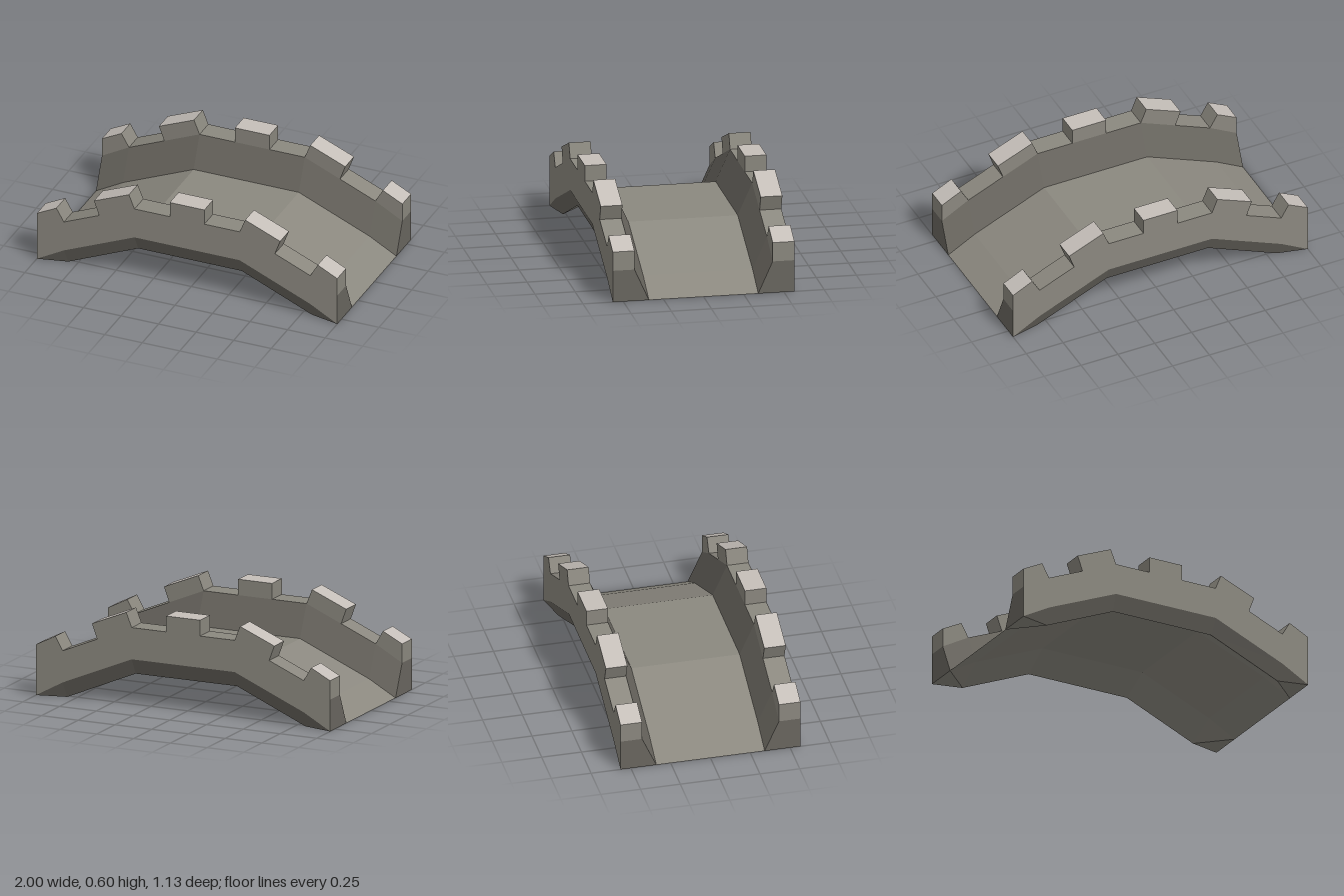
import * as THREE from 'three';

const Z_OUT = 0.565, Z_IN = 0.43, Z_DECK = 0.34, Z_UNDER = 0.52;

const stone = new THREE.MeshStandardMaterial({ color: 0x8b887f });
stone.name = 'stone';
stone.side = THREE.DoubleSide;
const darkStone = new THREE.MeshStandardMaterial({ color: 0x69665f });
darkStone.name = 'darkStone';
const paleStone = new THREE.MeshStandardMaterial({ color: 0xc5bfb9 });
paleStone.name = 'paleStone';

// Arch stations from the crown to the foot: x, deck height, underside point
const STATIONS = [
  { x: 0, y: 0.3, ux: 0, uy: 0.2, uz: Z_UNDER },
  { x: 0.35, y: 0.3, ux: 0.345, uy: 0.2, uz: Z_UNDER },
  { x: 0.82, y: 0.1, ux: 0.81, uy: 0, uz: Z_UNDER },
  { x: 1, y: 0, ux: 1, uy: 0, uz: Z_OUT },
];

// Battlement outlines: base, top, top, base
const MERLONS = [
  [[0, 0.5], [0, 0.6], [0.115, 0.6], [0.115, 0.5]],
  [[0.35, 0.5], [0.387, 0.592], [0.62, 0.495], [0.585, 0.4]],
  [[0.82, 0.3], [0.87, 0.386], [1, 0.32], [1, 0.2]],
];

// Flat-shaded mesh from quads, mirrored in x and (optionally) in z
function quadMesh(name, quads, material, zSigns = [1, -1]) {
  const positions = [];
  for (const sx of [1, -1]) for (const sz of zSigns) {
    for (const [p, q, r, s] of quads) {
      for (const tri of [[p, q, r], [p, r, s]]) {
        const v = tri.map(([x, y, z]) => new THREE.Vector3(x * sx, y, z * sz));
        if (sx * sz < 0) v.reverse();
        if (new THREE.Triangle(...v).getArea() < 1e-7) continue;
        for (const c of v) positions.push(c.x, c.y, c.z);
      }
    }
  }
  const geometry = new THREE.BufferGeometry();
  geometry.setAttribute('position', new THREE.Float32BufferAttribute(positions, 3));
  geometry.computeVertexNormals();
  const mesh = new THREE.Mesh(geometry, material);
  mesh.name = name;
  return mesh;
}

// Corners of the parapet section at one station
function section({ x, y, ux, uy, uz }) {
  return {
    outTop: [x, y + 0.2, Z_OUT],
    inTop: [x, y + 0.2, Z_IN],
    deck: [x, y, Z_DECK],
    under: [ux, uy, uz],
    outLow: [x, y, Z_OUT],
  };
}

export function createModel() {
  const group = new THREE.Group();
  group.name = 'archedBridge';

  const walls = [], ribs = [], innerSlopes = [], chamfers = [], deck = [];
  const sections = STATIONS.map(section);
  for (let i = 0; i < sections.length - 1; i++) {
    const a = sections[i], b = sections[i + 1];
    walls.push([a.outLow, b.outLow, b.outTop, a.outTop], [a.outTop, b.outTop, b.inTop, a.inTop]);
    innerSlopes.push([a.inTop, b.inTop, b.deck, a.deck]);
    ribs.push([b.deck, b.under, a.under, a.deck]);
    chamfers.push([a.under, b.under, b.outLow, a.outLow]);
    const back = ([x, y, z]) => [x, y, -z];
    deck.push([a.deck, b.deck, back(b.deck), back(a.deck)]);
  }
  const foot = sections[sections.length - 1];
  const wallEnds = [[foot.outTop, foot.outLow, foot.deck, foot.inTop]];

  // Battlement sides and their pale tops
  const merlons = [], merlonTops = [];
  for (const outline of MERLONS) {
    const [f0, f1, f2, f3] = outline.map(([x, y]) => [x, y, Z_OUT]);
    const [b0, b1, b2, b3] = outline.map(([x, y]) => [x, y, Z_IN]);
    merlons.push([f0, f3, f2, f1], [b0, b1, b2, b3], [f3, b3, b2, f2]);
    if (f0[0] > 0) merlons.push([b0, f0, f1, b1]);
    merlonTops.push([f1, f2, b2, b1]);
  }

  group.add(
    quadMesh('deck', deck, stone, [1]),
    quadMesh('parapetWalls', walls, stone),
    quadMesh('undersideRibs', ribs, stone),
    quadMesh('parapetInnerSlopes', innerSlopes, darkStone),
    quadMesh('parapetLowerChamfers', chamfers, darkStone),
    quadMesh('parapetEnds', wallEnds, darkStone),
    quadMesh('battlements', merlons, stone),
    quadMesh('battlementTops', merlonTops, paleStone),
  );
  return group;
}
